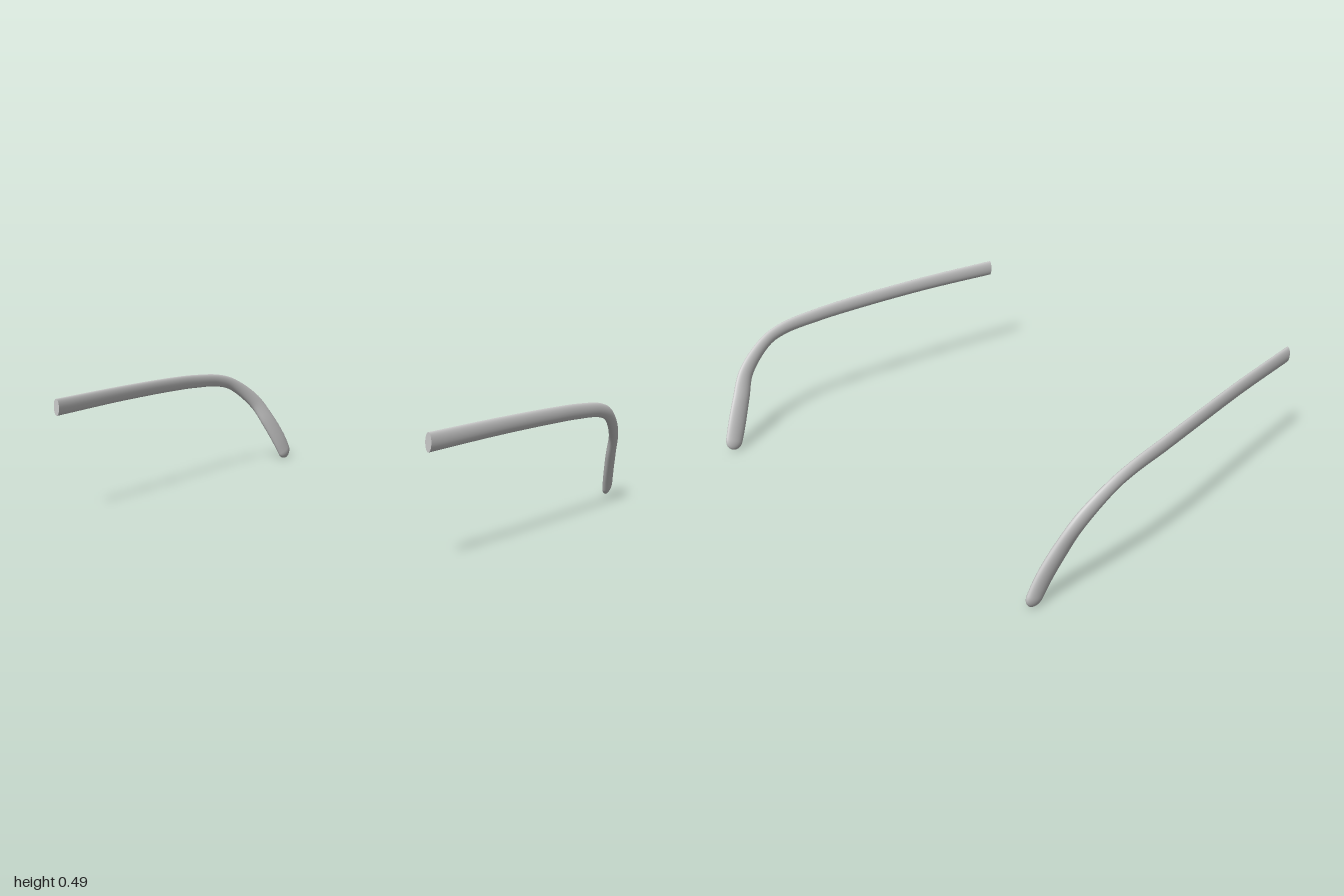
import * as THREE from 'three';

const ROWS = 90, SIDES = 24;

// Sweeps an oval section along stations [x, y, z, half height, half thickness]
function sweepArm(stations) {
  const path = new THREE.CatmullRomCurve3(stations.map(s => new THREE.Vector3(s[0], s[1], s[2])));
  const size = new THREE.CatmullRomCurve3(
    stations.map((s, i) => new THREE.Vector3(s[3], s[4], i * 0.2)), false, 'catmullrom');
  const end = path.getPoint(1), pos = [], index = [];
  const tipLength = 0.04;

  for (let i = 0; i <= ROWS; i++) {
    const s = i / ROWS, t = 1 - (1 - s) ** 2; // rows crowd towards the rounded tip
    const p = path.getPoint(t), tangent = path.getTangent(t), sz = size.getPoint(t);
    const thin = new THREE.Vector3(1, 0, 0).addScaledVector(tangent, -tangent.x).normalize();
    const tall = new THREE.Vector3().crossVectors(thin, tangent).normalize();
    const k = Math.max(0, 1 - p.distanceTo(end) / tipLength);
    const round = Math.sqrt(Math.max(0, 1 - k * k));
    for (let j = 0; j < SIDES; j++) {
      const a = j / SIDES * Math.PI * 2;
      const v = p.clone()
        .addScaledVector(thin, Math.cos(a) * sz.y * round)
        .addScaledVector(tall, Math.sin(a) * sz.x * round);
      pos.push(v.x, v.y, v.z);
    }
  }
  for (let i = 0; i < ROWS; i++) {
    for (let j = 0; j < SIDES; j++) {
      const a = i * SIDES + j, b = i * SIDES + (j + 1) % SIDES;
      const c = a + SIDES, d = b + SIDES;
      index.push(a, c, b, b, c, d);
    }
  }
  // Flat front end with its own vertices, so the rim stays sharp
  const base = pos.length / 3;
  pos.push(...pos.slice(0, SIDES * 3));
  for (let j = 1; j < SIDES - 1; j++) index.push(base, base + j, base + j + 1);

  const g = new THREE.BufferGeometry();
  g.setAttribute('position', new THREE.Float32BufferAttribute(pos, 3));
  g.setIndex(index);
  g.computeVertexNormals();
  return g;
}

export function createModel() {
  const model = new THREE.Group();
  const material = new THREE.MeshStandardMaterial({ color: 0xcccccc, side: THREE.DoubleSide });

  // Straight shaft, bend over the ear, then the broad drooping tip
  const arms = {
    rightTempleArm: [
      [-0.84, 0.445, 0.838, 0.035, 0.013],
      [-0.895, 0.452, 0.4, 0.033, 0.014],
      [-0.949, 0.45, 0, 0.032, 0.014],
      [-0.972, 0.444, -0.2, 0.031, 0.014],
      [-0.984, 0.428, -0.4, 0.029, 0.014],
      [-0.98, 0.397, -0.508, 0.03, 0.015],
      [-0.951, 0.3, -0.644, 0.038, 0.017],
      [-0.918, 0.2, -0.708, 0.044, 0.018],
      [-0.893, 0.1, -0.765, 0.046, 0.017],
      [-0.878, 0.004, -0.812, 0.042, 0.016],
    ],
    leftTempleArm: [
      [0.855, 0.445, 0.805, 0.035, 0.013],
      [0.91, 0.452, 0.4, 0.033, 0.014],
      [0.954, 0.45, 0, 0.032, 0.014],
      [0.972, 0.444, -0.2, 0.031, 0.014],
      [0.985, 0.428, -0.39, 0.029, 0.014],
      [0.983, 0.397, -0.492, 0.03, 0.015],
      [0.955, 0.3, -0.629, 0.038, 0.017],
      [0.921, 0.2, -0.693, 0.044, 0.018],
      [0.892, 0.1, -0.748, 0.046, 0.017],
      [0.87, 0.01, -0.794, 0.042, 0.016],
    ],
  };
  for (const [name, stations] of Object.entries(arms)) {
    const mesh = new THREE.Mesh(sweepArm(stations), material);
    mesh.name = name;
    model.add(mesh);
  }
  return model;
}
